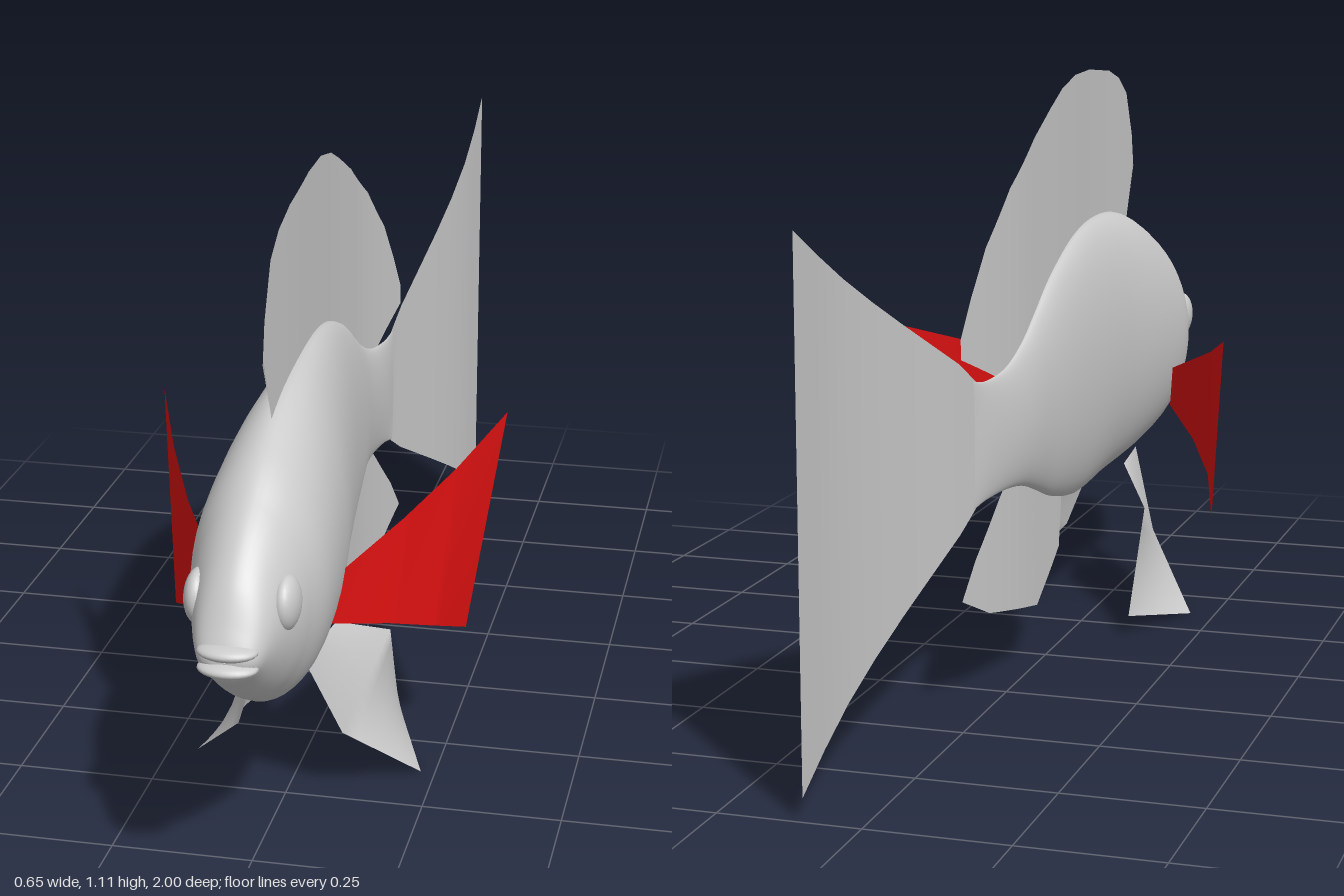
import * as THREE from 'three';
import { ParametricGeometry } from 'three/addons/geometries/ParametricGeometry.js';

const { smoothstep, lerp } = THREE.MathUtils;
const grey = new THREE.MeshStandardMaterial({ color: 0xcccccc });
const thinGrey = new THREE.MeshStandardMaterial({ color: 0xcccccc, side: THREE.DoubleSide });
const thinRed = new THREE.MeshStandardMaterial({ color: 0xdd1111, side: THREE.DoubleSide });

// Sideways sway of the spine along the length
const spine = (z) => 0.02 * smoothstep(z, 0, 0.57) + 0.1 * smoothstep(-z, 0.1, 0.9);

function add(group, name, geometry, material) {
  const mesh = new THREE.Mesh(geometry, material);
  mesh.name = name;
  group.add(mesh);
  return mesh;
}

// Point at t on a polyline with evenly weighted segments
function along(points, t) {
  const f = Math.min(Math.max(t, 0), 1) * (points.length - 1);
  const i = Math.min(Math.floor(f), points.length - 2);
  return points[i].clone().lerp(points[i + 1], f - i);
}

// Thin sheet stretched between two edges
function sheet(edgeA, edgeB, bend = (p) => p) {
  const surface = (u, v, target) => {
    target.copy(bend(along(edgeA, u).lerp(along(edgeB, u), v)));
  };
  return new ParametricGeometry(surface, (edgeA.length - 1) * 6, 8);
}

const edge3 = (list) => list.map((p) => new THREE.Vector3(...p));
const edgeZY = (list) => list.map(([z, y]) => new THREE.Vector3(0, y, z));

// Fin on the midline that follows the spine
const midFin = (a, b) => sheet(edgeZY(a), edgeZY(b), (p) => p.setX(spine(p.z)));

function bodyGeometry() {
  // z, top, bottom, half width, from tail to mouth
  const stations = [
    [-0.36, 0.603, 0.37, 0.003], [-0.31, 0.597, 0.378, 0.011], [-0.23, 0.607, 0.38, 0.02],
    [-0.15, 0.64, 0.37, 0.029], [-0.07, 0.685, 0.345, 0.038], [0.04, 0.745, 0.308, 0.05],
    [0.2, 0.795, 0.278, 0.066], [0.38, 0.813, 0.278, 0.085], [0.57, 0.8, 0.28, 0.108],
    [0.73, 0.745, 0.3, 0.117], [0.82, 0.69, 0.34, 0.1], [0.88, 0.643, 0.375, 0.082],
    [0.93, 0.59, 0.412, 0.066], [0.965, 0.53, 0.44, 0.05], [0.98, 0.5, 0.465, 0.03],
    [0.982, 0.483, 0.481, 0.002],
  ];
  const outline = new THREE.CatmullRomCurve3(stations.map(([z, t, b]) => new THREE.Vector3(z, t, b)));
  const widths = new THREE.CatmullRomCurve3(stations.map((s) => new THREE.Vector3(s[0], s[3], 0)));
  outline.curveType = widths.curveType = 'catmullrom';
  const surface = (u, v, target) => {
    const { x: z, y: top, z: bottom } = outline.getPoint(v);
    const w = Math.max(widths.getPoint(v).y, 0.001);
    const a = u * Math.PI * 2;
    const c = Math.cos(a);
    const x = w * Math.sign(c) * Math.pow(Math.abs(c), 1.1);
    target.set(spine(z) + x, lerp(bottom, top, 0.5 + 0.5 * Math.sin(a)), z);
  };
  return new ParametricGeometry(surface, 48, 90);
}

export function createModel() {
  const fish = new THREE.Group();
  fish.name = 'fish';
  add(fish, 'body', bodyGeometry(), grey);

  // Midline fins: outer edge, then the base inside the body
  add(fish, 'dorsalFin', midFin(
    [[0.655, 0.78], [0.715, 0.885], [0.7, 0.955], [0.655, 1.045], [0.595, 1.08], [0.515, 1.1],
      [0.345, 1.113], [0.22, 1.11], [0.115, 1.09], [0.035, 1.06], [-0.07, 1.013], [-0.205, 0.933],
      [-0.31, 0.837], [-0.365, 0.757], [-0.405, 0.687], [-0.405, 0.65]],
    [[0.655, 0.76], [0.65, 0.76], [0.64, 0.76], [0.6, 0.77], [0.56, 0.775], [0.5, 0.785],
      [0.36, 0.795], [0.24, 0.78], [0.13, 0.76], [0.05, 0.73], [-0.05, 0.68], [-0.14, 0.63],
      [-0.2, 0.6], [-0.23, 0.595], [-0.25, 0.59], [-0.25, 0.59]],
  ), thinGrey);
  add(fish, 'analFin', midFin(
    [[0.11, 0.27], [0.095, 0.195], [-0.055, 0.115], [-0.3, 0.163], [-0.405, 0.21], [-0.355, 0.275], [-0.26, 0.366]],
    [[0.11, 0.31], [0.1, 0.32], [0.03, 0.34], [-0.08, 0.37], [-0.15, 0.39], [-0.19, 0.4], [-0.22, 0.4]],
  ), thinGrey);
  add(fish, 'tailFin', midFin(
    [[-0.3, 0.593], [-0.35, 0.602], [-0.41, 0.643], [-1, 0.95]],
    [[-0.3, 0.382], [-0.35, 0.372], [-0.41, 0.335], [-1, 0.04]],
  ), thinGrey);

  // Lips
  [['upperLip', 0.496], ['lowerLip', 0.467]].forEach(([name, y]) => {
    const lip = add(fish, name, new THREE.SphereGeometry(1, 24, 16), grey);
    lip.scale.set(0.05, 0.014, 0.034);
    lip.position.set(0.02, y, 0.966);
  });

  // Paired parts
  for (const side of [1, -1]) {
    const label = side > 0 ? 'left' : 'right';
    const mirror = (shift) => (p) => p.setX(shift + side * p.x);

    const eye = add(fish, label + 'Eye', new THREE.SphereGeometry(1, 24, 16), grey);
    eye.scale.set(0.024, 0.047, 0.045);
    eye.position.set(0.02 + side * 0.072, 0.542, 0.865);

    add(fish, label + 'PectoralFin', sheet(
      edge3([[0.11, 0.473, 0.58], [0.195, 0.523, 0.43], [0.262, 0.565, 0.28], [0.327, 0.617, 0.11]]),
      edge3([[0.1, 0.388, 0.6], [0.18, 0.343, 0.48], [0.238, 0.295, 0.37], [0.277, 0.238, 0.24]]),
      mirror(0.005),
    ), thinRed);

    add(fish, label + 'PelvicFin', sheet(
      edge3([[0.04, 0.3, 0.57], [0.095, 0.136, 0.51], [0.212, 0, 0.37]]),
      edge3([[0.06, 0.3, 0.4], [0.136, 0.238, 0.28], [0.132, 0.04, 0.175]]),
      mirror(0.012),
    ), thinGrey);
  }
  return fish;
}
